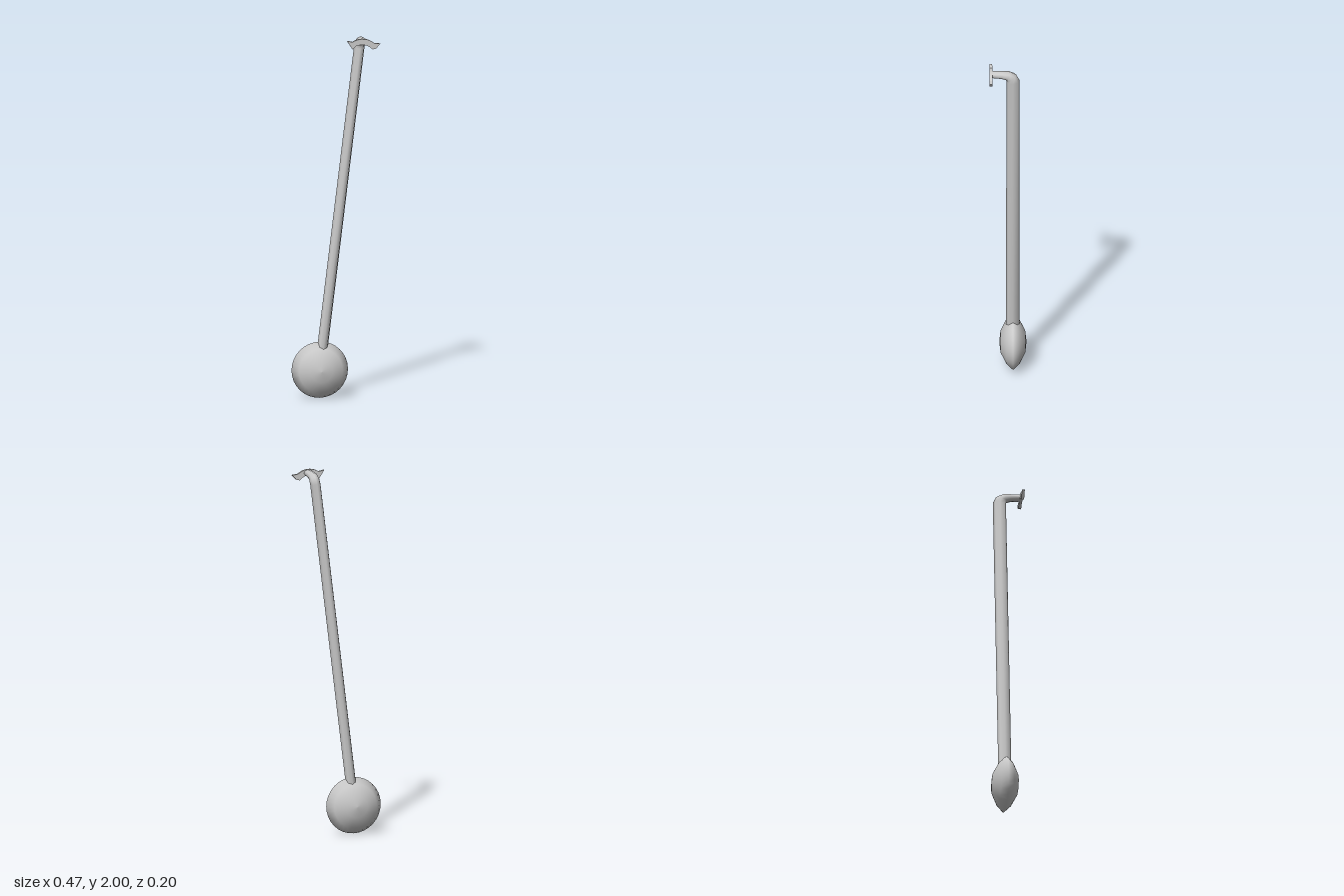
import * as THREE from 'three';

const material = new THREE.MeshStandardMaterial({ color: 0xcccccc });
const TILT = 0.122; // sideways lean of the rod per unit of height
const rodX = (y) => -0.08 + (y - 0.16) * TILT;

function addMesh(group, name, geometry) {
  const mesh = new THREE.Mesh(geometry, material);
  mesh.name = name;
  group.add(mesh);
  return mesh;
}

// Skin over oval rings, each given by its outer and inner [y, z] and half width
function bentRod(rings, sides) {
  const positions = [], index = [];
  const across = new THREE.Vector3(1, -TILT, 0).normalize();
  for (const [outer, inner, halfWidth] of rings) {
    const a = new THREE.Vector3(rodX(outer[0]), ...outer);
    const b = new THREE.Vector3(rodX(inner[0]), ...inner);
    const centre = a.clone().add(b).multiplyScalar(0.5);
    const depth = b.clone().sub(centre);
    for (let i = 0; i < sides; i++) {
      const t = (i / sides) * Math.PI * 2;
      const p = centre.clone()
        .addScaledVector(across, halfWidth * Math.cos(t))
        .addScaledVector(depth, Math.sin(t));
      positions.push(p.x, p.y, p.z);
    }
  }
  for (let r = 0; r < rings.length - 1; r++) {
    for (let i = 0; i < sides; i++) {
      const j = (i + 1) % sides;
      const a = r * sides + i, b = r * sides + j;
      index.push(a, a + sides, b, b, a + sides, b + sides);
    }
  }
  const geometry = new THREE.BufferGeometry();
  geometry.setAttribute('position', new THREE.Float32BufferAttribute(positions, 3));
  geometry.setIndex(index);
  geometry.computeVertexNormals();
  return geometry;
}

export function createModel() {
  const group = new THREE.Group();
  group.name = 'pendulum';

  // Lens-shaped weight
  const profile = [[0, -0.074], [0.06, -0.067], [0.12, -0.036], [0.155, 0],
    [0.12, 0.036], [0.06, 0.067], [0, 0.074]].map(([x, y]) => new THREE.Vector2(x, y));
  const bob = addMesh(group, 'bob', new THREE.LatheGeometry(profile, 32));
  bob.rotation.x = Math.PI / 2;
  bob.position.set(-0.08, 0.16, -0.028);

  // Leaning rod that bends forward into a short arm
  addMesh(group, 'rod', bentRod([
    [[0.24, -0.063], [0.24, 0.009], 0.029],
    [[1.94, -0.063], [1.93, 0.009], 0.029],
    [[1.978, -0.045], [1.942, 0.009], 0.028],
    [[1.996, -0.01], [1.948, 0.012], 0.026],
    [[1.998, 0.03], [1.957, 0.035], 0.024],
    [[1.998, 0.09], [1.965, 0.09], 0.024],
  ], 8));

  // Arched anchor with a pallet at each tip
  const shape = new THREE.Shape();
  shape.moveTo(0.05, 1.992);
  shape.lineTo(0.08, 1.945);
  shape.lineTo(0.1, 1.963);
  shape.quadraticCurveTo(0.14, 1.978, 0.175, 1.955);
  shape.lineTo(0.19, 1.942);
  shape.lineTo(0.208, 1.946);
  shape.lineTo(0.233, 1.972);
  shape.lineTo(0.2, 1.976);
  shape.quadraticCurveTo(0.165, 2.001, 0.14, 2);
  shape.quadraticCurveTo(0.11, 2.003, 0.08, 1.985);
  const anchor = addMesh(group, 'anchor', new THREE.ExtrudeGeometry(shape, {
    depth: 0.015, bevelEnabled: false, curveSegments: 6,
  }));
  anchor.position.z = 0.085;

  return group;
}
